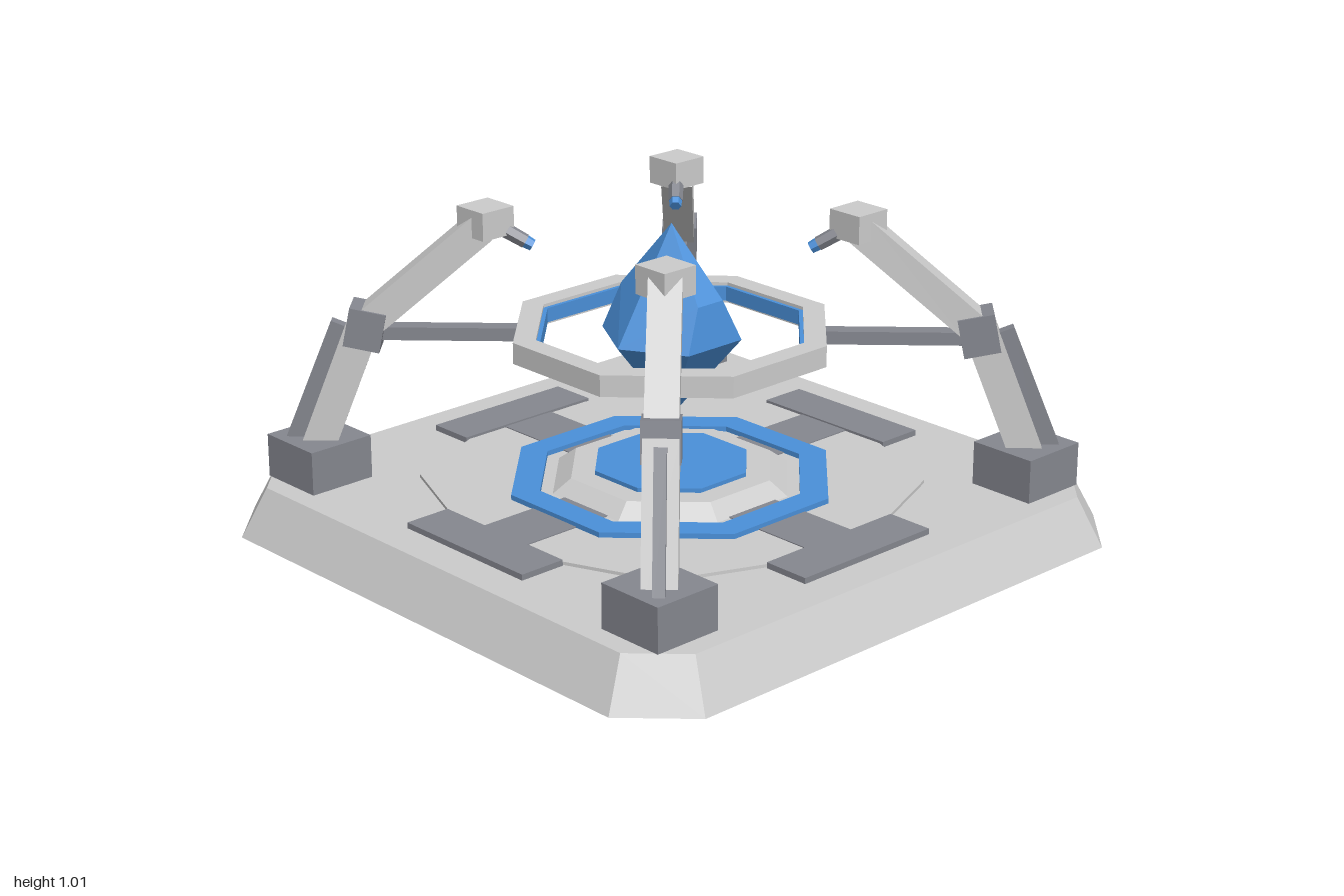
import * as THREE from 'three';
import { ConvexGeometry } from 'three/addons/geometries/ConvexGeometry.js';

const mat = (color) => new THREE.MeshStandardMaterial({ color, flatShading: true });
const grey = mat(0xcccccc);
const slate = mat(0x85878f);
const blue = mat(0x4a90d9);
const V = (x, y, z) => new THREE.Vector3(x, y, z);
const FLAT = Math.cos(Math.PI / 8); // apothem / radius of an octagon

function add(parent, name, geometry, material, x = 0, y = 0, z = 0) {
  const mesh = new THREE.Mesh(geometry, material);
  mesh.name = name;
  mesh.position.set(x, y, z);
  parent.add(mesh);
  return mesh;
}

const box = (w, h, d) => new THREE.BoxGeometry(w, h, d);

// Octagonal slab with flat sides facing the axes, sized by its apothems
function octSlab(bottom, top, y0, y1) {
  return new THREE.CylinderGeometry(top / FLAT, bottom / FLAT, y1 - y0, 8)
    .rotateY(Math.PI / 8).translate(0, (y0 + y1) / 2, 0);
}

// Octagonal ring with a rectangular section
function octRing(outer, inner, y0, y1) {
  const corners = (a) => Array.from({ length: 8 }, (_, i) => {
    const t = (i + 0.5) * Math.PI / 4;
    return new THREE.Vector2(Math.cos(t) * a / FLAT, Math.sin(t) * a / FLAT);
  });
  const shape = new THREE.Shape(corners(outer));
  shape.holes.push(new THREE.Path(corners(inner)));
  return new THREE.ExtrudeGeometry(shape, { depth: y1 - y0, bevelEnabled: false })
    .rotateX(-Math.PI / 2).translate(0, y0, 0);
}

// Square with cut corners, as points at one height
function cutSquare(half, cut, y) {
  const pts = [];
  for (const sx of [-1, 1]) for (const sz of [-1, 1]) {
    pts.push(V(sx * half, y, sz * cut), V(sx * cut, y, sz * half));
  }
  return pts;
}

// Beam in the local x/y plane between two [radius, height] points
function beam(parent, name, a, b, thick, width, material) {
  const dx = b[0] - a[0], dy = b[1] - a[1];
  const mesh = add(parent, name, box(thick, Math.hypot(dx, dy), width), material,
    (a[0] + b[0]) / 2, (a[1] + b[1]) / 2, 0);
  mesh.rotation.z = Math.atan2(-dx, dy);
  return mesh;
}

function makeArm(index) {
  const arm = new THREE.Group();
  arm.name = 'arm' + (index + 1);
  const S = Math.SQRT2;
  // Local +x points outwards along the diagonal
  const squareOn = (m) => { m.rotation.y = Math.PI / 4; return m; };
  squareOn(add(arm, 'foot', box(0.22, 0.135, 0.22), slate, 0.75 * S, 0.2175, 0));
  beam(arm, 'lowerLeg', [0.765 * S, 0.2], [0.645 * S, 0.64], 0.1, 0.1, grey);
  beam(arm, 'legFin', [0.815 * S, 0.2], [0.69 * S, 0.64], 0.07, 0.035, slate);
  const joint = add(arm, 'joint', box(0.11, 0.12, 0.11), slate, 0.64 * S, 0.635, 0);
  joint.rotation.z = 0.2;
  beam(arm, 'upperArm', [0.635 * S, 0.65], [0.39 * S, 0.95], 0.09, 0.095, grey);
  squareOn(add(arm, 'cap', box(0.118, 0.085, 0.118), grey, 0.385 * S, 0.965, 0));
  add(arm, 'strut', box(0.46, 0.04, 0.05), slate, 0.67, 0.617, 0);

  // Emitter pointing down towards the crystal
  const from = V(0.37 * S, 0.955, 0), to = V(0.288 * S, 0.888, 0);
  const dir = to.clone().sub(from).normalize();
  for (const [name, t0, t1, r, m] of [['emitter', 0, 0.82, 0.024, slate], ['emitterTip', 0.82, 1, 0.02, blue]]) {
    const a = from.clone().lerp(to, t0), b = from.clone().lerp(to, t1);
    const mesh = add(arm, name, new THREE.CylinderGeometry(r * 0.9, r, a.distanceTo(b), 6), m);
    mesh.position.copy(a).lerp(b, 0.5);
    mesh.quaternion.setFromUnitVectors(V(0, 1, 0), dir);
  }
  arm.rotation.y = Math.PI / 4 + index * Math.PI / 2;
  return arm;
}

export function createModel() {
  const model = new THREE.Group();
  model.name = 'crystalPlatform';

  // Platform
  add(model, 'base', new ConvexGeometry([...cutSquare(1, 0.82, 0), ...cutSquare(0.925, 0.785, 0.15)]), grey);
  add(model, 'floorDisc', new THREE.CylinderGeometry(0.76, 0.76, 0.012, 8), grey, 0, 0.154, 0);
  for (let i = 0; i < 4; i++) {
    const side = new THREE.Group();
    side.name = 'floorSide' + (i + 1);
    add(side, 'edgePlate', box(0.51, 0.03, 0.15), slate, 0, 0.153, 0.735);
    add(side, 'floorStrip', box(0.19, 0.014, 0.34), slate, 0, 0.156, 0.49);
    side.rotation.y = i * Math.PI / 2;
    model.add(side);
  }

  // Glowing floor ring and pedestal
  add(model, 'floorRing', octRing(0.468, 0.385, 0.155, 0.176), blue);
  add(model, 'pedestal', octSlab(0.355, 0.295, 0.155, 0.202), grey);
  add(model, 'pedestalLight', octSlab(0.225, 0.225, 0.2, 0.215), blue);

  // Suspended ring with a lit inner band
  add(model, 'upperRing', octRing(0.455, 0.39, 0.585, 0.65), grey);
  add(model, 'upperRingBand', octRing(0.392, 0.378, 0.595, 0.64), blue);

  // Main crystal: six-sided bipyramid with shoulders front and back
  const points = [V(0, 0.96, 0), V(0, 0.36, 0)];
  for (let i = 0; i < 6; i++) {
    const t = i * Math.PI / 3;
    points.push(V(0.215 * Math.cos(t), 0.62, 0.215 * Math.sin(t)));
  }
  for (const sx of [-1, 1]) for (const sz of [-1, 1]) points.push(V(sx * 0.05, 0.75, sz * 0.165));
  add(model, 'crystal', new ConvexGeometry(points), blue);

  // Small crystal floating below
  add(model, 'smallCrystal', new THREE.OctahedronGeometry(0.045), blue, 0, 0.27, 0);

  for (let i = 0; i < 4; i++) model.add(makeArm(i));
  return model;
}
